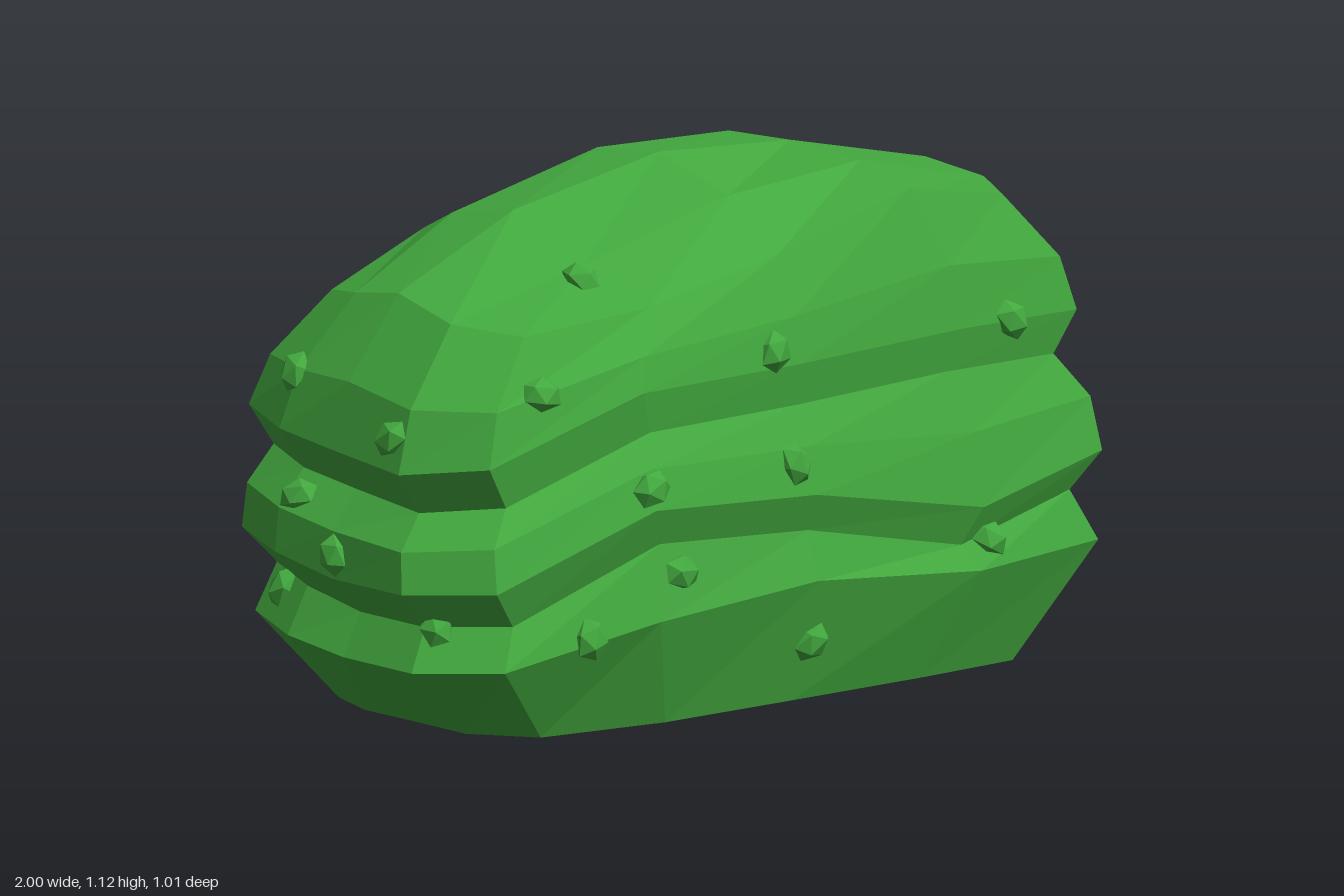
import * as THREE from 'three';

// Perimeter columns, anticlockwise from the front left corner:
// x, z, then the height of the lower, middle and upper ledge and of the top rim
const COLS = [
  [-0.89, 0.43, 0.17, 0.34, 0.60, 0.86], [-0.48, 0.485, 0.24, 0.48, 0.725, 0.89],
  [0.0, 0.47, 0.27, 0.455, 0.73, 0.955], [0.5, 0.45, 0.23, 0.365, 0.745, 1.05],
  [0.87, 0.42, 0.25, 0.44, 0.74, 1.0],
  [0.97, 0.23, 0.27, 0.45, 0.74, 1.01], [0.94, 0.02, 0.21, 0.325, 0.68, 1.035],
  [1.0, -0.16, 0.25, 0.40, 0.735, 1.01],
  [0.92, -0.335, 0.26, 0.42, 0.73, 0.97], [0.42, -0.43, 0.25, 0.45, 0.75, 1.0],
  [0.02, -0.495, 0.22, 0.41, 0.72, 1.02], [-0.48, -0.45, 0.20, 0.35, 0.64, 0.97],
  [-0.87, -0.39, 0.20, 0.38, 0.64, 0.88],
  [-0.95, -0.2, 0.18, 0.36, 0.62, 0.90], [-0.97, 0.0, 0.16, 0.33, 0.60, 0.92],
  [-1.0, 0.25, 0.16, 0.33, 0.58, 0.88],
];

// Rings from the ground up: x scale, z scale, z shift, height rule
const RINGS = [
  [0.78, 0.79, 0.015, () => 0],
  [0.98, 0.98, 0.015, (a) => a],
  [0.92, 0.925, 0.005, (a, c) => c - 0.08],
  [1.0, 1.0, 0.0, (a, c) => c],
  [0.985, 0.97, -0.01, (a, c, e) => c + (e - 0.09 - c) * 0.55],
  [0.905, 0.91, -0.025, (a, c, e) => e - 0.09],
  [0.97, 0.945, -0.028, (a, c, e) => e],
  [0.93, 0.89, -0.02, (a, c, e, f) => e + (f - e) * 0.45],
  [0.79, 0.755, -0.012, (a, c, e, f) => f],
];

// Inner columns, rows and heights of the domed top
const CAP_X = [-0.4, 0.02, 0.4];
const CAP_Z = [0.17, -0.05, -0.24];
const CAP_Y = [[0.96, 1.06, 1.09], [1.05, 1.125, 1.105], [1.02, 1.11, 1.1]];

// Hollow shell, open underneath
function shellGeometry() {
  const pos = [];
  const quad = (a, b, c, d) => pos.push(...a, ...b, ...c, ...a, ...c, ...d);
  const n = COLS.length;
  const rings = RINGS.map(([sx, sz, dz, height]) =>
    COLS.map(([x, z, ...ys]) => [x * sx, height(...ys), z * sz + dz]));
  // The back of the foot is cut straight
  for (const p of rings[0]) p[2] = Math.max(p[2], -0.355);

  // Ledges and grooves
  for (let i = 0; i < rings.length - 1; i++) {
    for (let j = 0; j < n; j++) {
      const k = (j + 1) % n;
      quad(rings[i][j], rings[i][k], rings[i + 1][k], rings[i + 1][j]);
    }
  }

  // Domed top as a five by five grid sharing the rim
  const rim = rings[rings.length - 1];
  const rows = [rim.slice(0, 5)];
  for (let r = 0; r < 3; r++) {
    const inner = CAP_X.map((x, c) => [x, CAP_Y[r][c], CAP_Z[r]]);
    rows.push([rim[15 - r], ...inner, rim[5 + r]]);
  }
  rows.push(rim.slice(8, 13).reverse());
  for (let r = 0; r < 4; r++) {
    for (let c = 0; c < 4; c++) {
      quad(rows[r][c], rows[r][c + 1], rows[r + 1][c + 1], rows[r + 1][c]);
    }
  }

  const geo = new THREE.BufferGeometry();
  geo.setAttribute('position', new THREE.Float32BufferAttribute(pos, 3));
  geo.computeVertexNormals();
  return geo;
}

// Nubs on each side: position along the side, height
const NUBS = {
  front: [[-0.44, 0.94], [-0.71, 0.745], [-0.07, 0.765], [0.64, 0.745], [-0.48, 0.525],
    [-0.05, 0.525], [-0.39, 0.335], [-0.65, 0.22], [0.54, 0.29], [0.02, 0.13]],
  right: [[0.03, 0.86], [0.19, 0.68], [-0.12, 0.49], [0.2, 0.385], [0.17, 0.18], [-0.13, 0.17]],
  back: [[0.81, 0.83], [0.28, 0.94], [0.46, 0.70], [0.65, 0.40], [-0.03, 0.59],
    [-0.43, 0.80], [-0.43, 0.42], [0.03, 0.16]],
  left: [[-0.21, 0.74], [-0.17, 0.48], [-0.28, 0.26], [0.0, 0.38], [0.16, 0.65], [0.26, 0.25]],
};
const SIDES = {
  front: new THREE.Vector3(0, 0, 1), back: new THREE.Vector3(0, 0, -1),
  right: new THREE.Vector3(1, 0, 0), left: new THREE.Vector3(-1, 0, 0),
};

export function createModel() {
  const group = new THREE.Group();
  group.name = 'ridgedMound';
  const green = new THREE.MeshStandardMaterial({
    color: 0x42a83e, flatShading: true, side: THREE.DoubleSide,
  });
  green.name = 'leaf green';

  const shell = new THREE.Mesh(shellGeometry(), green);
  shell.name = 'ridgedShell';
  group.add(shell);

  // Small faceted nubs set into the surface
  const nubs = new THREE.Group();
  nubs.name = 'nubs';
  const nubGeo = new THREE.IcosahedronGeometry(0.045, 0);
  const ray = new THREE.Raycaster();
  const outward = new THREE.Vector3(0, 0, 1);
  let count = 0;
  for (const [side, list] of Object.entries(NUBS)) {
    const dir = SIDES[side];
    for (const [u, y] of list) {
      const origin = dir.clone().multiplyScalar(2);
      origin[dir.x ? 'z' : 'x'] = u;
      origin.y = y;
      ray.set(origin, dir.clone().negate());
      const hit = ray.intersectObject(shell)[0];
      if (!hit) continue;
      const nub = new THREE.Mesh(nubGeo, green);
      nub.name = side + 'Nub';
      nub.position.copy(hit.point);
      nub.quaternion.setFromUnitVectors(outward, hit.face.normal);
      nub.rotateZ(count++ * 1.3);
      nub.scale.set(0.9, 1.08, 0.72);
      nubs.add(nub);
    }
  }
  group.add(nubs);
  return group;
}
